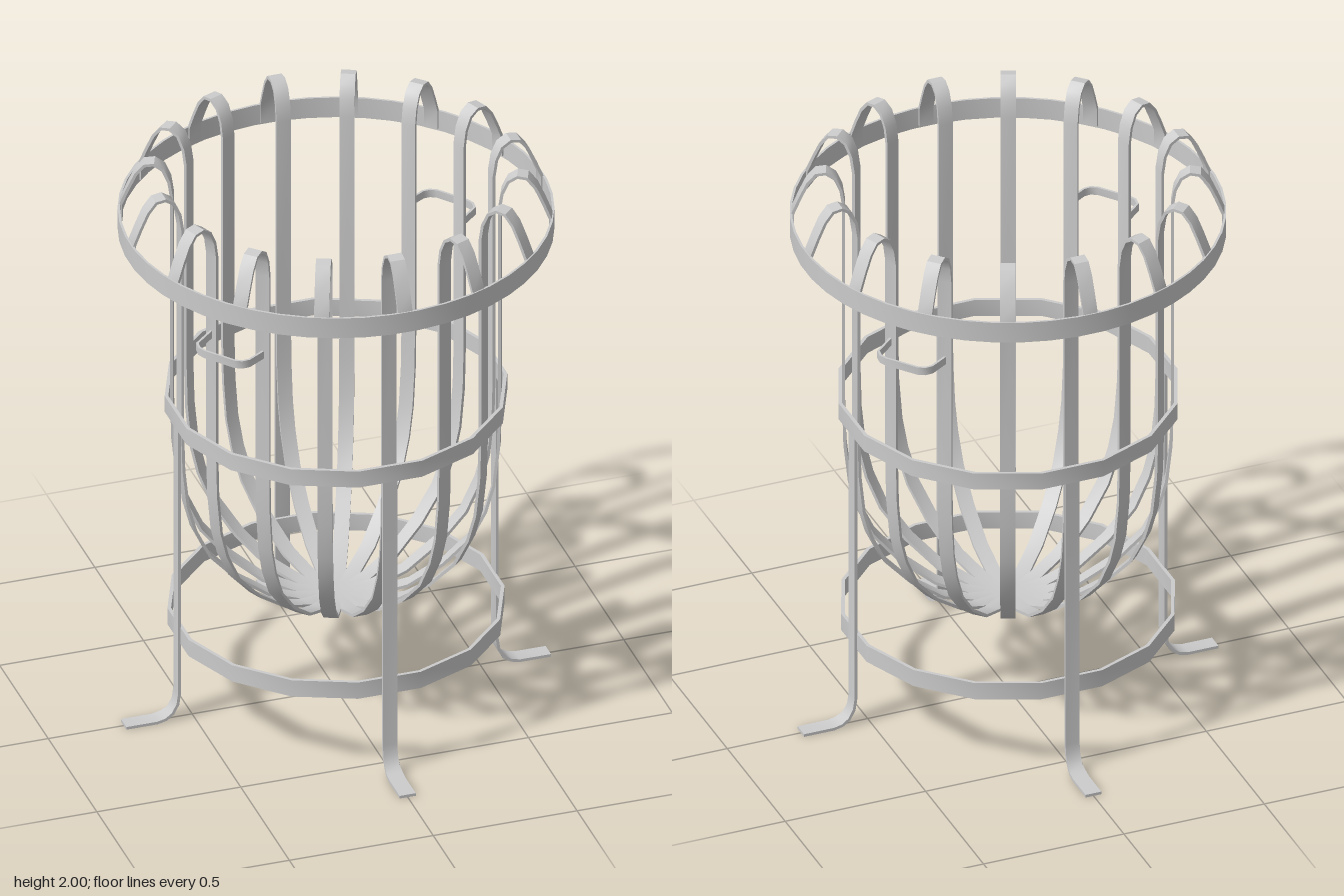
import * as THREE from 'three';
import { toCreasedNormals } from 'three/addons/utils/BufferGeometryUtils.js';

const material = new THREE.MeshStandardMaterial({ color: 0xcccccc, side: THREE.DoubleSide });

// Flat bar: a polyline centre line thickened by t and extruded to a width
function barGeometry(points, t, width) {
  const p = points.map(([x, y]) => new THREE.Vector2(x, y));
  const side = (sign) => p.map((c, i) => {
    const a = c.clone().sub(p[Math.max(i - 1, 0)]).normalize();
    const b = p[Math.min(i + 1, p.length - 1)].clone().sub(c).normalize();
    if (i === 0) a.copy(b);
    if (i === p.length - 1) b.copy(a);
    const tangent = a.clone().add(b).normalize();
    const mitre = (sign * t / 2) / Math.max(tangent.dot(a), 0.5);
    return new THREE.Vector2(c.x - tangent.y * mitre, c.y + tangent.x * mitre);
  });
  const shape = new THREE.Shape([...side(1), ...side(-1).reverse()]);
  const g = new THREE.ExtrudeGeometry(shape, { depth: width, bevelEnabled: false });
  g.translate(0, 0, -width / 2);
  return toCreasedNormals(g, 0.6);
}

// Hoop of rectangular section; the radii are measured to the middle of the facets
function hoop(name, inner, outer, y0, y1, sides) {
  const k = 1 / Math.cos(Math.PI / sides);
  const profile = [[inner, y0], [outer, y0], [outer, y1], [inner, y1], [inner, y0]]
    .map(([r, y]) => new THREE.Vector2(r * k, y));
  const g = new THREE.LatheGeometry(profile, sides);
  g.rotateY(Math.PI / sides);
  const mesh = new THREE.Mesh(toCreasedNormals(g, 0.6), material);
  mesh.name = name;
  return mesh;
}

// Repeat one geometry around the vertical axis
function radial(name, geometry, count, start = 0) {
  const group = new THREE.Group();
  group.name = name + 's';
  for (let i = 0; i < count; i++) {
    const mesh = new THREE.Mesh(geometry, material);
    mesh.name = name;
    mesh.rotation.y = start + (i * Math.PI * 2) / count;
    group.add(mesh);
  }
  return group;
}

export function createModel() {
  const model = new THREE.Group();
  model.name = 'fireBasket';

  // Basket straps: bowl bottom, upright, then curled over to the rim
  const strap = [
    [0, 0.378], [0.13, 0.38], [0.24, 0.42], [0.355, 0.505], [0.445, 0.605], [0.495, 0.71],
    [0.522, 0.81], [0.537, 0.95], [0.541, 1.1], [0.541, 1.87], [0.55, 1.93], [0.57, 1.975],
    [0.6, 1.995], [0.632, 1.99], [0.66, 1.955], [0.685, 1.9], [0.709, 1.84], [0.709, 1.775],
  ];
  model.add(radial('strap', barGeometry(strap, 0.01, 0.05), 16));

  // Four legs with feet turned outward
  const leg = [
    [0.552, 1.16], [0.552, 0.1], [0.558, 0.06], [0.575, 0.028], [0.6, 0.012], [0.63, 0.005], [0.738, 0.005],
  ];
  const legGeometry = barGeometry(leg, 0.01, 0.05);
  const pos = legGeometry.attributes.position;
  for (let i = 0; i < pos.count; i++) { // feet flare slightly
    if (pos.getX(i) > 0.59) pos.setZ(i, pos.getZ(i) * 1.12);
  }
  model.add(radial('leg', legGeometry, 4));

  // Hoops
  model.add(hoop('rimHoop', 0.71, 0.718, 1.767, 1.842, 48));
  model.add(hoop('middleHoop', 0.546, 0.558, 1.104, 1.165, 16));
  model.add(hoop('lowerHoop', 0.537, 0.549, 0.291, 0.353, 16));

  // Two carrying handles on opposite sides, each bridging two straps
  const handle = [
    [0.385, 0.388], [0.445, 0.425], [0.47, 0.427], [0.492, 0.415],
    [0.566, 0.322], [0.576, 0.298], [0.573, 0.27], [0.503, 0.207],
  ];
  const handleGeometry = barGeometry(handle, 0.008, 0.028);
  handleGeometry.rotateX(-Math.PI / 2);
  handleGeometry.translate(0, 1.57, 0);
  model.add(radial('handle', handleGeometry, 2));

  return model;
}
